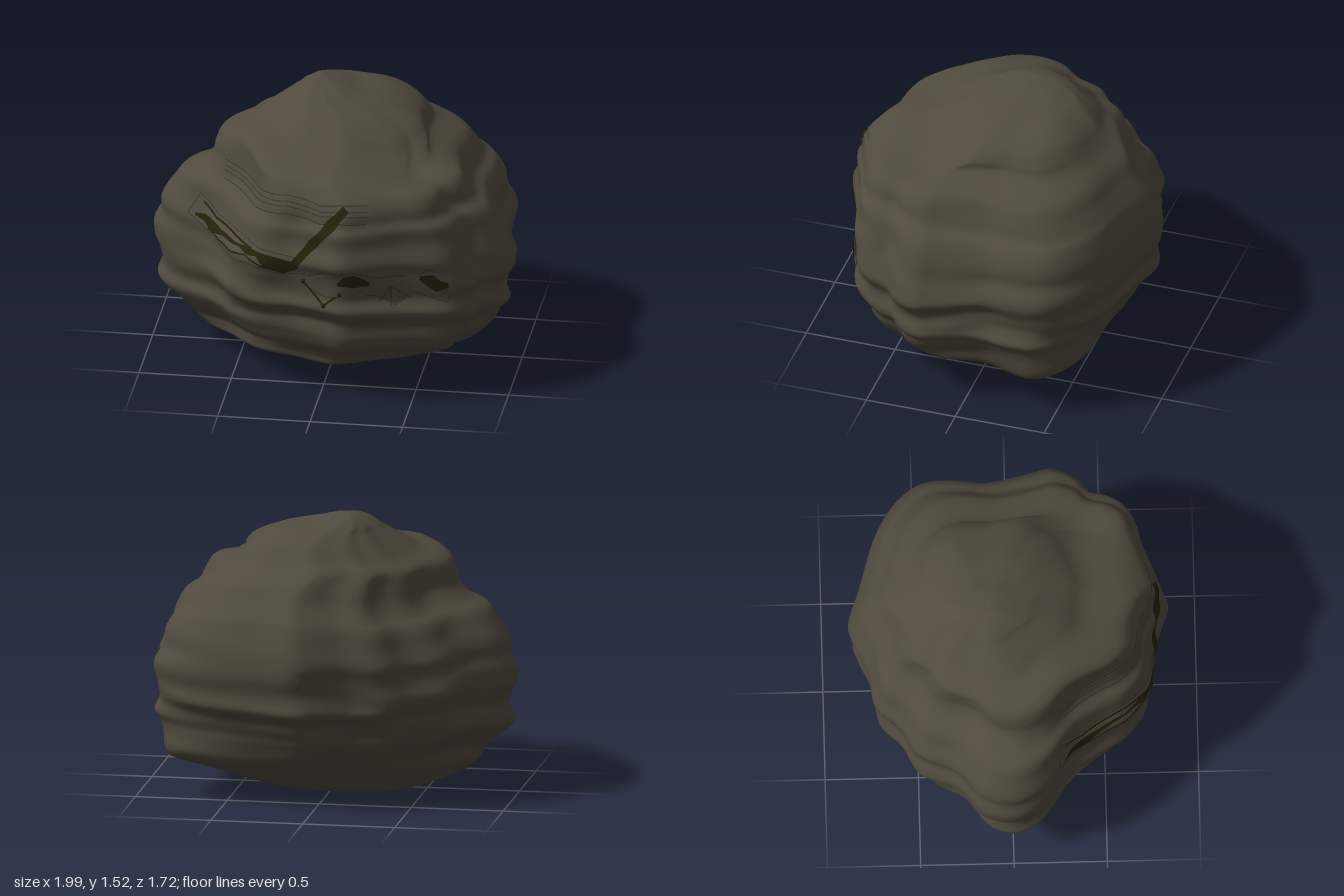
import * as THREE from 'three';

// Outline of the boulder seen from above, as x, z
const OUTLINE = [
  [0.97, 0.13], [1, 0.26], [0.95, 0.38], [0.86, 0.46], [0.82, 0.58], [0.72, 0.68], [0.5, 0.74], [0.3, 0.81],
  [0.15, 0.85], [0.02, 0.81], [-0.15, 0.76], [-0.35, 0.74], [-0.5, 0.63], [-0.58, 0.5], [-0.7, 0.34], [-0.88, 0.21],
  [-0.97, 0.1], [-1, -0.02], [-0.95, -0.17], [-0.8, -0.3], [-0.7, -0.5], [-0.53, -0.6], [-0.4, -0.73], [-0.2, -0.76],
  [-0.03, -0.83], [0.1, -0.86], [0.3, -0.8], [0.6, -0.72], [0.8, -0.61], [0.92, -0.47], [0.94, -0.3], [0.92, -0.1],
];
// Extent of each layer: y, min x, max x, min z, max z
const LAYERS = [
  [0, -0.22, -0.22, -0.11, -0.11], [0.02, -0.4, 0.2, -0.27, 0], [0.06, -0.54, 0.4, -0.37, 0.17],
  [0.1, -0.67, 0.54, -0.43, 0.43], [0.15, -0.74, 0.7, -0.5, 0.48], [0.2, -0.78, 0.8, -0.57, 0.53],
  [0.27, -0.83, 0.84, -0.65, 0.68], [0.35, -0.93, 0.9, -0.7, 0.72], [0.4, -0.97, 0.93, -0.72, 0.73],
  [0.45, -0.965, 0.97, -0.75, 0.74], [0.5, -0.95, 0.96, -0.78, 0.79], [0.55, -0.96, 0.945, -0.83, 0.83],
  [0.61, -1, 0.955, -0.83, 0.81], [0.68, -0.99, 0.99, -0.83, 0.81], [0.75, -0.955, 0.97, -0.845, 0.83],
  [0.82, -0.945, 0.93, -0.855, 0.85], [0.91, -0.89, 0.91, -0.83, 0.82], [1, -0.83, 0.86, -0.8, 0.82],
  [1.05, -0.73, 0.79, -0.77, 0.8], [1.12, -0.67, 0.75, -0.72, 0.79], [1.2, -0.65, 0.69, -0.67, 0.74],
  [1.27, -0.61, 0.54, -0.6, 0.64], [1.32, -0.48, 0.5, -0.53, 0.43], [1.38, -0.38, 0.43, -0.47, 0.32],
  [1.44, -0.29, 0.26, -0.38, 0.18], [1.47, -0.25, 0.11, -0.32, 0.11], [1.5, -0.19, 0.02, -0.25, 0.02],
  [1.515, -0.14, -0.05, -0.17, -0.05], [1.52, -0.1, -0.1, -0.11, -0.11],
];
// Rises and dips of the crown: x, z, height, radius
const CROWN = [[0.25, -0.33, 0.035, 0.18], [-0.43, 0.27, 0.035, 0.2], [0.45, 0.39, -0.08, 0.25]];

function boulderGeometry() {
  const rows = 112, cols = 128, { smoothstep, lerp } = THREE.MathUtils;
  const spline = (pts, closed) => new THREE.CatmullRomCurve3(pts, closed, 'catmullrom', 0.5);
  const outline = spline(OUTLINE.map(([x, z]) => new THREE.Vector3(x, 0, z / 0.855)), true);
  const spanX = spline(LAYERS.map(l => new THREE.Vector3(l[1], l[2], l[0])), false);
  const spanZ = spline(LAYERS.map(l => new THREE.Vector3(l[3], l[4], 0)), false);
  const ring = Array.from({ length: cols }, (_, j) => outline.getPoint(j / cols));
  const pos = [], index = [];
  for (let i = 0; i <= rows; i++) {
    const t = i / rows, a = spanX.getPoint(t), b = spanZ.getPoint(t), y = a.z;
    // Lobes soften towards the crown and the underside
    const soft = 0.45 * Math.max(smoothstep(y, 1.15, 1.45), 1 - smoothstep(y, 0, 0.3));
    const fade = Math.sin(Math.PI * t);
    const ripple = fade * lerp(0.008, 0.002, smoothstep(y, 0.5, 0.9));
    const top = smoothstep(y, 1.1, 1.3), under = fade * (1 - smoothstep(y, 0.1, 0.4));
    // Low bulge at the back left corner
    const bulge = 0.17 * Math.exp(-(((y - 0.22) / 0.13) ** 2));
    for (const p of ring) {
      const ang = Math.atan2(p.z, p.x), r = Math.hypot(p.x, p.z);
      const k = lerp(1, 1 / r, soft)
        + ripple * Math.sin(y * 38 + 1.6 * Math.sin(2 * ang) + Math.sin(5 * ang))
        + fade * 0.007 * Math.sin(4 * ang + y * 9)
        + bulge * Math.exp(-(((ang + 0.75) / 0.4) ** 2));
      const x = (a.x + a.y) / 2 + p.x * k * (a.y - a.x) / 2;
      const z = (b.x + b.y) / 2 + p.z * k * (b.y - b.x) / 2;
      let h = y + fade * 0.016 * Math.sin(3 * ang + 1 + y * 4) + under * 0.04 * Math.sin(9 * x + 3 * z) * Math.cos(6 * z);
      for (const [cx, cz, rise, rad] of CROWN) h += top * rise * Math.exp(-((x - cx) ** 2 + (z - cz) ** 2) / rad ** 2);
      pos.push(x, h, z);
    }
  }
  for (let i = 0; i < rows; i++) for (let j = 0; j < cols; j++) {
    const n = (j + 1) % cols, a = i * cols + j, b = i * cols + n, c = a + cols, d = b + cols;
    index.push(a, c, b, b, c, d);
  }
  const g = new THREE.BufferGeometry();
  g.setAttribute('position', new THREE.Float32BufferAttribute(pos, 3));
  g.setIndex(index);
  g.computeVertexNormals();
  return g;
}

export function createModel() {
  const model = new THREE.Group();
  model.name = 'boulder';
  const mat = (name, color) => {
    const m = new THREE.MeshStandardMaterial({ color, side: THREE.DoubleSide });
    m.name = name;
    return m;
  };
  const stone = mat('brown grey stone', 0x504a3e);
  const moss = mat('dark olive', 0x25210b);
  const shade = mat('dark stone', 0x3b372e);

  const rock = new THREE.Mesh(boulderGeometry(), stone);
  rock.name = 'rock';
  model.add(rock);
  rock.updateMatrixWorld();

  // Depth of the front face of the rock at x, y
  const ray = new THREE.Raycaster(), dir = new THREE.Vector3(0, 0, -1);
  const frontZ = (x, y) => {
    ray.set(new THREE.Vector3(x, y, 3), dir);
    const hit = ray.intersectObject(rock)[0];
    return hit ? hit.point.z : 0;
  };

  // Ribbon draped on the front face; each point is x, y, half width
  function ribbon(name, material, pts, lift = 0.01, steps = 5, across = 1) {
    const pos = [], index = [], w = across + 1;
    let count = 0;
    for (let s = 0; s < pts.length - 1; s++) {
      const [p, q] = [pts[s], pts[s + 1]], last = s === pts.length - 2;
      const before = pts[Math.max(0, s - 1)], after = pts[Math.min(pts.length - 1, s + 2)];
      const n0 = new THREE.Vector2(before[1] - q[1], q[0] - before[0]).normalize();
      const n1 = new THREE.Vector2(p[1] - after[1], after[0] - p[0]).normalize();
      for (let i = 0; i < steps + (last ? 1 : 0); i++, count++) {
        const f = i / steps, m = p.map((v, k) => v + (q[k] - v) * f);
        const n = n0.clone().lerp(n1, f);
        for (let k = 0; k <= across; k++) {
          const o = m[2] * (1 - 2 * k / across), x = m[0] + n.x * o, y = m[1] + n.y * o;
          pos.push(x, y, frontZ(x, y) + lift);
        }
      }
    }
    for (let i = 0; i < count - 1; i++) for (let k = 0; k < across; k++) {
      const a = i * w + k, b = a + w;
      index.push(a, a + 1, b, b, a + 1, b + 1);
    }
    const g = new THREE.BufferGeometry();
    g.setAttribute('position', new THREE.Float32BufferAttribute(pos, 3));
    g.setIndex(index);
    g.computeVertexNormals();
    const mesh = new THREE.Mesh(g, material);
    mesh.name = name;
    model.add(mesh);
  }
  const line = (name, material, pts, half = 0.003) => ribbon(name, material, pts.map(([x, y]) => [x, y, half]));

  // Thin strata lines on the upper front
  const strata = [[-0.57, 0], [-0.36, -0.02], [-0.17, 0.01], [0.02, -0.02], [0.13, 0.005], [0.27, 0]];
  [1.165, 1.135, 1.11, 1.07].forEach(y => line('strataLine', shade, strata.map(([x, d]) => [x, y + d])));

  // Diagonal dark seam and the crack running left from it
  ribbon('diagonalSeam', moss, [[-0.15, 0.78, 0.022], [-0.06, 0.89, 0.02], [-0.02, 0.94, 0.027], [0.04, 1.01, 0.022],
    [0.08, 1.06, 0.03], [0.12, 1.11, 0.022], [0.16, 1.155, 0.022]], 0.014, 4, 2);
  ribbon('leftCrack', moss, [[-0.73, 0.855, 0.006], [-0.67, 0.855, 0.018], [-0.62, 0.83, 0.03], [-0.56, 0.835, 0.012],
    [-0.44, 0.85, 0.006], [-0.38, 0.845, 0.02], [-0.33, 0.845, 0.012], [-0.27, 0.81, 0.04], [-0.18, 0.79, 0.045],
    [-0.1, 0.81, 0.015]], 0.014, 4, 2);
  line('leftCrackEdge', moss, [[-0.68, 0.93], [-0.6, 0.88], [-0.46, 0.88], [-0.36, 0.86]], 0.006);
  line('leftCrackEdge', moss, [[-0.65, 0.81], [-0.58, 0.79], [-0.5, 0.795], [-0.4, 0.82], [-0.28, 0.77]], 0.005);
  line('leftCrackRim', shade, [[-0.77, 0.85], [-0.7, 0.97], [-0.58, 0.9], [-0.43, 0.91], [-0.3, 0.87], [-0.12, 0.85]]);
  line('leftCrackRim', shade, [[-0.77, 0.85], [-0.65, 0.79], [-0.5, 0.76], [-0.38, 0.78], [-0.2, 0.74], [-0.06, 0.76]]);

  // Raised broken band on the right with dark hollows
  ribbon('rightBand', stone, [[-0.05, 0.71, 0.02], [0.05, 0.72, 0.07], [0.2, 0.73, 0.07], [0.33, 0.71, 0.05],
    [0.42, 0.68, 0.08], [0.52, 0.71, 0.05], [0.63, 0.7, 0.08], [0.74, 0.68, 0.03]], 0.012, 4, 3);
  line('rightBandRim', shade, [[-0.05, 0.75], [0.05, 0.79], [0.2, 0.81], [0.33, 0.76], [0.42, 0.77], [0.52, 0.75], [0.6, 0.8], [0.74, 0.71]]);
  line('rightBandRim', shade, [[-0.05, 0.68], [0.05, 0.64], [0.2, 0.67], [0.33, 0.65], [0.42, 0.59], [0.52, 0.66], [0.69, 0.59], [0.74, 0.71]]);
  [[0.34, 0.62], [0.4, 0.59], [0.5, 0.63]].forEach(([x, y]) => ribbon('bandSplit', shade, [[0.4, 0.71, 0.003], [x, y, 0.003]], 0.018));
  ribbon('rightHollow', moss, [[0.12, 0.73, 0.008], [0.17, 0.755, 0.035], [0.21, 0.755, 0.042], [0.25, 0.745, 0.028], [0.29, 0.73, 0.01]], 0.018, 4, 2);
  ribbon('rightHollow', moss, [[0.55, 0.75, 0.012], [0.6, 0.735, 0.035], [0.65, 0.695, 0.035], [0.7, 0.7, 0.014]], 0.018, 4, 2);

  // Forked twig with knots at its joints
  const fork = [[-0.075, 0.71], [0.04, 0.59], [0.13, 0.67]];
  line('forkedTwig', moss, fork, 0.007);
  fork.forEach(([x, y]) => {
    const knot = new THREE.Mesh(new THREE.SphereGeometry(0.013, 10, 8), moss);
    knot.name = 'twigKnot';
    knot.position.set(x, y, frontZ(x, y) + 0.008);
    model.add(knot);
  });
  return model;
}
